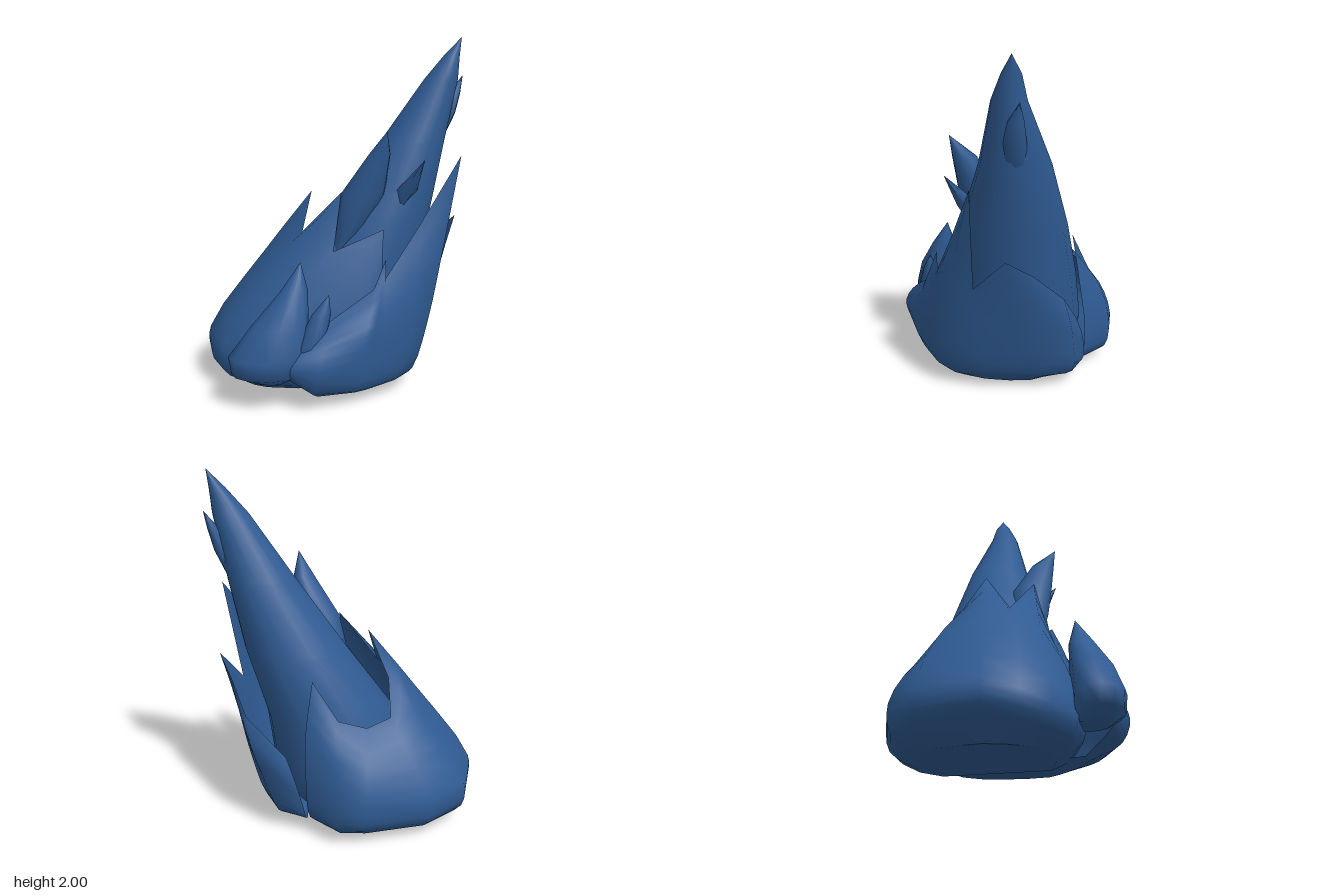
import * as THREE from 'three';

const blue = new THREE.MeshStandardMaterial({ color: 0x2f5b93, side: THREE.DoubleSide });
blue.name = 'deep blue';

const V = (p) => new THREE.Vector3(p[0], p[1], p[2]);

// Join equal-length rows of points into a smooth skin with a closed underside
function skin(name, rows, closed) {
  const n = rows[0].length, pos = [], idx = [];
  rows.forEach((r) => r.forEach((p) => pos.push(p.x, p.y, p.z)));
  for (let i = 0; i < rows.length - 1; i++) {
    for (let j = 0; j < (closed ? n : n - 1); j++) {
      const k = (j + 1) % n, a = i * n + j, b = i * n + k, c = a + n, d = b + n;
      idx.push(a, c, b, b, c, d);
    }
  }
  // Fan across the first row
  const mid = new THREE.Vector3(), s = pos.length / 3;
  rows[0].forEach((p) => {
    mid.addScaledVector(p, 1 / n);
    pos.push(p.x, p.y, p.z);
  });
  pos.push(mid.x, mid.y, mid.z);
  for (let j = 0; j < n; j++) idx.push(s + j, s + (j + 1) % n, s + n);

  const g = new THREE.BufferGeometry();
  g.setAttribute('position', new THREE.Float32BufferAttribute(pos, 3));
  g.setIndex(idx);
  g.computeVertexNormals();
  const m = new THREE.Mesh(g, blue);
  m.name = name;
  return m;
}

// Curved shell: columns run from the lower bend up to the jagged rim;
// each gets a foot drawn in toward the middle of the underside
function shell(name, [cx, floor, cz], columns) {
  const cols = columns.map((c) => {
    const pts = c.map(V), foot = pts[0].clone().lerp(new THREE.Vector3(cx, 0, cz), 0.28).setY(floor);
    return new THREE.CatmullRomCurve3([foot, ...pts], false, 'centripetal').getPoints(12);
  });
  return skin(name, cols[0].map((_, i) => cols.map((c) => c[i])), false);
}

// Leaning spike through elliptical sections [x, y, z, rx, rz]
function spike(name, sections, sides = 12) {
  const rows = sections.map(([x, y, z, rx, rz]) => Array.from({ length: sides }, (_, j) => {
    const a = -j / sides * Math.PI * 2;
    return new THREE.Vector3(x + rx * Math.cos(a), y, z + rz * Math.sin(a));
  }));
  return skin(name, rows, true);
}

export function createModel() {
  const g = new THREE.Group();
  g.name = 'leaningFlame';

  g.add(spike('mainSpire', [
    [0.0, 0.12, -0.08, 0.32, 0.35], [0.02, 0.3, -0.08, 0.39, 0.38], [0.07, 0.6, -0.075, 0.38, 0.355],
    [0.28, 1.0, -0.075, 0.29, 0.295], [0.46, 1.4, -0.09, 0.19, 0.19],
    [0.62, 1.76, -0.07, 0.1, 0.09], [0.685, 1.9, -0.085, 0.045, 0.05], [0.74, 2.0, -0.09, 0.001, 0.001],
  ], 16));

  // Bowl from the back, round the -x side, to the jagged front sheet
  g.add(shell('bowlShell', [-0.2, 0.005, -0.1], [
    [[0.2, 0.1, -0.47], [0.22, 0.3, -0.49], [0.22, 0.6, -0.45], [0.18, 0.89, -0.4]],
    [[0.05, 0.1, -0.62], [0.05, 0.27, -0.64], [0.05, 0.5, -0.58], [0.04, 0.68, -0.46]],
    [[-0.1, 0.1, -0.63], [-0.1, 0.25, -0.655], [-0.12, 0.45, -0.58], [-0.12, 0.62, -0.42]],
    [[-0.46, 0.1, -0.55], [-0.47, 0.25, -0.57], [-0.35, 0.5, -0.47], [-0.26, 0.64, -0.32]],
    [[-0.67, 0.12, -0.4], [-0.68, 0.26, -0.4], [-0.46, 0.6, -0.34], [-0.25, 0.85, -0.24]],
    [[-0.76, 0.16, -0.08], [-0.76, 0.28, -0.08], [-0.42, 0.75, -0.1], [-0.14, 1.1, -0.12]],
    [[-0.73, 0.14, 0.1], [-0.72, 0.28, 0.1], [-0.44, 0.65, 0.07], [-0.2, 0.88, 0.02]],
    [[-0.66, 0.12, 0.24], [-0.64, 0.3, 0.24], [-0.35, 0.7, 0.19], [0.02, 1.13, 0.15]],
    [[-0.5, 0.1, 0.36], [-0.45, 0.3, 0.36], [-0.25, 0.58, 0.29], [-0.03, 0.8, 0.22]],
    [[-0.25, 0.1, 0.4], [-0.2, 0.3, 0.4], [0, 0.65, 0.33], [0.25, 0.93, 0.25]],
    [[0.06, 0.1, 0.36], [0.07, 0.3, 0.38], [0.14, 0.5, 0.34], [0.24, 0.68, 0.28]],
  ]));

  // Shell from the front lobe round the +x side to the back
  g.add(shell('frontShell', [0.2, 0.05, 0.05], [
    [[-0.28, 0.17, 0.55], [-0.3, 0.24, 0.58], [-0.29, 0.28, 0.56], [-0.27, 0.31, 0.5]],
    [[-0.16, 0.11, 0.6], [-0.13, 0.25, 0.65], [-0.12, 0.36, 0.6], [-0.12, 0.44, 0.49]],
    [[0.06, 0.09, 0.52], [0.08, 0.28, 0.55], [0.14, 0.45, 0.51], [0.18, 0.63, 0.41]],
    [[0.12, 0.09, 0.49], [0.15, 0.3, 0.51], [0.2, 0.52, 0.47], [0.25, 0.79, 0.37]],
    [[0.17, 0.09, 0.46], [0.22, 0.3, 0.47], [0.24, 0.5, 0.44], [0.25, 0.68, 0.37]],
    [[0.32, 0.1, 0.37], [0.39, 0.35, 0.38], [0.42, 0.65, 0.35], [0.45, 0.95, 0.26]],
    [[0.42, 0.12, 0.28], [0.5, 0.4, 0.3], [0.59, 0.8, 0.24], [0.71, 1.33, 0.12]],
    [[0.47, 0.15, 0.1], [0.54, 0.4, 0.11], [0.58, 0.6, 0.12], [0.61, 0.74, 0.12]],
    [[0.48, 0.16, -0.1], [0.56, 0.4, -0.1], [0.64, 0.68, -0.08], [0.72, 0.95, -0.06]],
    [[0.46, 0.15, -0.27], [0.54, 0.4, -0.27], [0.6, 0.65, -0.24], [0.64, 0.84, -0.2]],
    [[0.38, 0.12, -0.42], [0.47, 0.35, -0.42], [0.53, 0.52, -0.4], [0.55, 0.67, -0.36]],
    [[0.22, 0.1, -0.48], [0.25, 0.22, -0.485], [0.28, 0.32, -0.47], [0.33, 0.45, -0.43]],
  ]));

  // Front petals
  g.add(spike('largePetal', [
    [-0.38, 0.14, 0.43, 0.1, 0.1], [-0.4, 0.19, 0.47, 0.2, 0.14], [-0.4, 0.29, 0.48, 0.215, 0.14],
    [-0.335, 0.45, 0.455, 0.155, 0.12], [-0.255, 0.63, 0.41, 0.075, 0.07], [-0.22, 0.78, 0.38, 0.001, 0.001],
  ]));
  g.add(spike('smallPetal', [
    [-0.22, 0.18, 0.48, 0.04, 0.06], [-0.17, 0.35, 0.5, 0.08, 0.07],
    [-0.11, 0.52, 0.48, 0.05, 0.04], [-0.07, 0.62, 0.47, 0.001, 0.001],
  ]));

  // Small licks breaking out of the spire
  g.add(spike('upperLick', [
    [0, 0.78, 0.13, 0.03, 0.06], [0.08, 0.95, 0.11, 0.1, 0.12], [0.145, 1.12, 0.13, 0.125, 0.12],
    [0.23, 1.35, 0.2, 0.06, 0.07], [0.26, 1.48, 0.28, 0.001, 0.001],
  ]));
  g.add(spike('thornLick', [
    [0.35, 1.03, 0.15, 0.01, 0.03], [0.39, 1.14, 0.17, 0.06, 0.06], [0.47, 1.32, 0.28, 0.001, 0.001],
  ], 6));
  g.add(spike('tipLick', [
    [0.59, 1.38, -0.1, 0.04, 0.06], [0.665, 1.56, -0.1, 0.05, 0.06], [0.71, 1.68, -0.11, 0.035, 0.04],
    [0.76, 1.78, -0.13, 0.001, 0.001],
  ], 8));

  return g;
}
